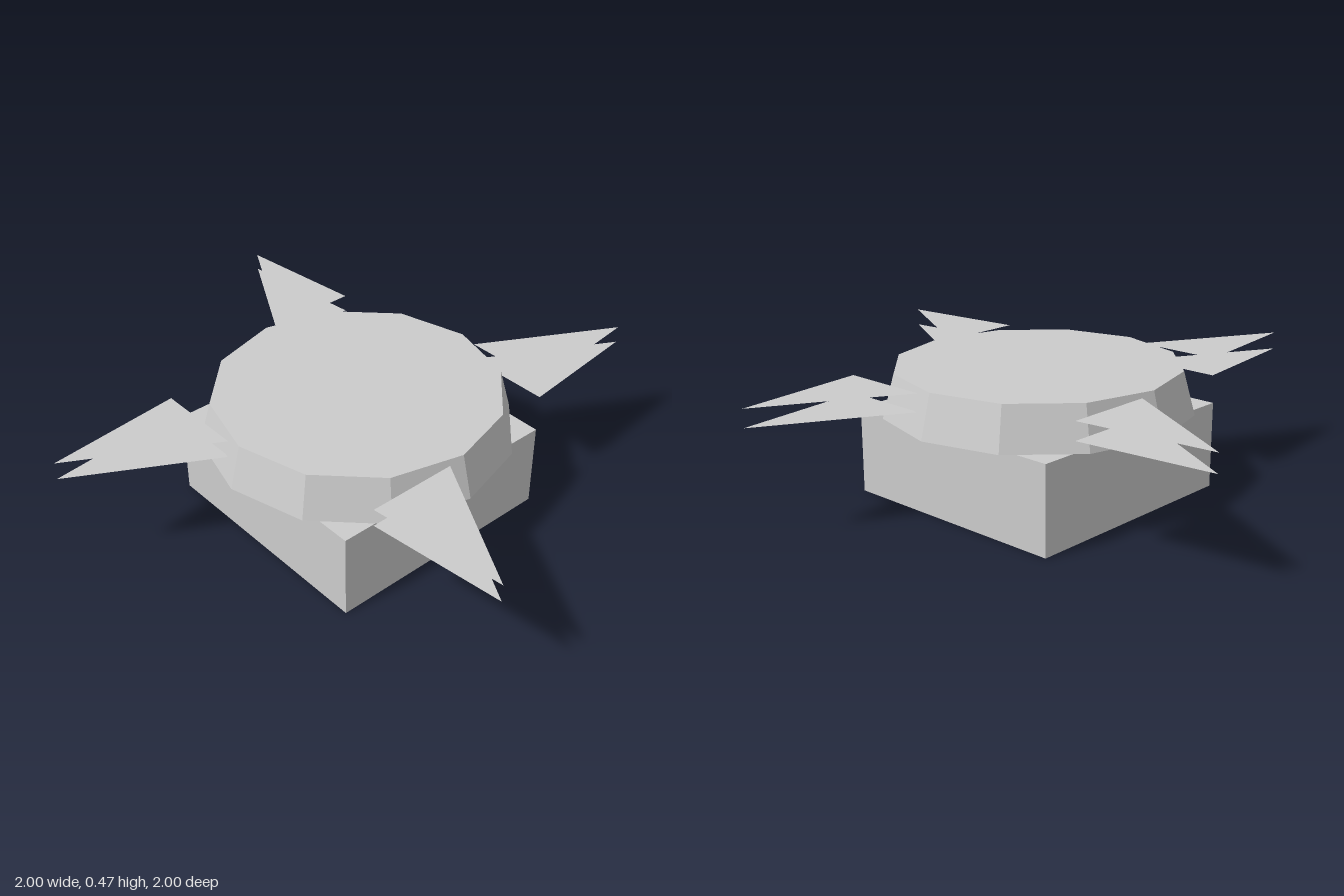
import * as THREE from 'three';

export function createModel() {
  const model = new THREE.Group();
  const grey = new THREE.MeshStandardMaterial({ color: 0xcccccc, flatShading: true });
  grey.name = 'grey';
  const greySheet = new THREE.MeshStandardMaterial({ color: 0xcccccc, flatShading: true, side: THREE.DoubleSide });
  greySheet.name = 'grey sheet';

  function add(name, geometry, parent = model, material = grey) {
    const mesh = new THREE.Mesh(geometry, material);
    mesh.name = name;
    parent.add(mesh);
    return mesh;
  }

  // Square base
  add('base', new THREE.BoxGeometry(0.884, 0.315, 0.884)).position.y = 0.1575;

  // Twelve-sided tapered disc resting on the base
  add('disc', new THREE.CylinderGeometry(0.513, 0.555, 0.155, 12)).position.y = 0.3925;

  // Flat triangular blade, drawn in (x, z) for the +x side
  const outline = new THREE.Shape([
    new THREE.Vector2(0.512, -0.06),
    new THREE.Vector2(0.512, -0.387),
    new THREE.Vector2(1.0, -0.333),
  ]);
  const blade = new THREE.ShapeGeometry(outline).rotateX(-Math.PI / 2);

  // Four pairs of stacked blades around the disc
  for (let i = 0; i < 4; i++) {
    const pair = new THREE.Group();
    pair.name = 'bladePair' + (i + 1);
    pair.rotation.y = i * Math.PI / 2;
    add('lowerBlade', blade, pair, greySheet).position.y = 0.392;
    add('upperBlade', blade, pair, greySheet).position.y = 0.456;
    model.add(pair);
  }

  return model;
}
